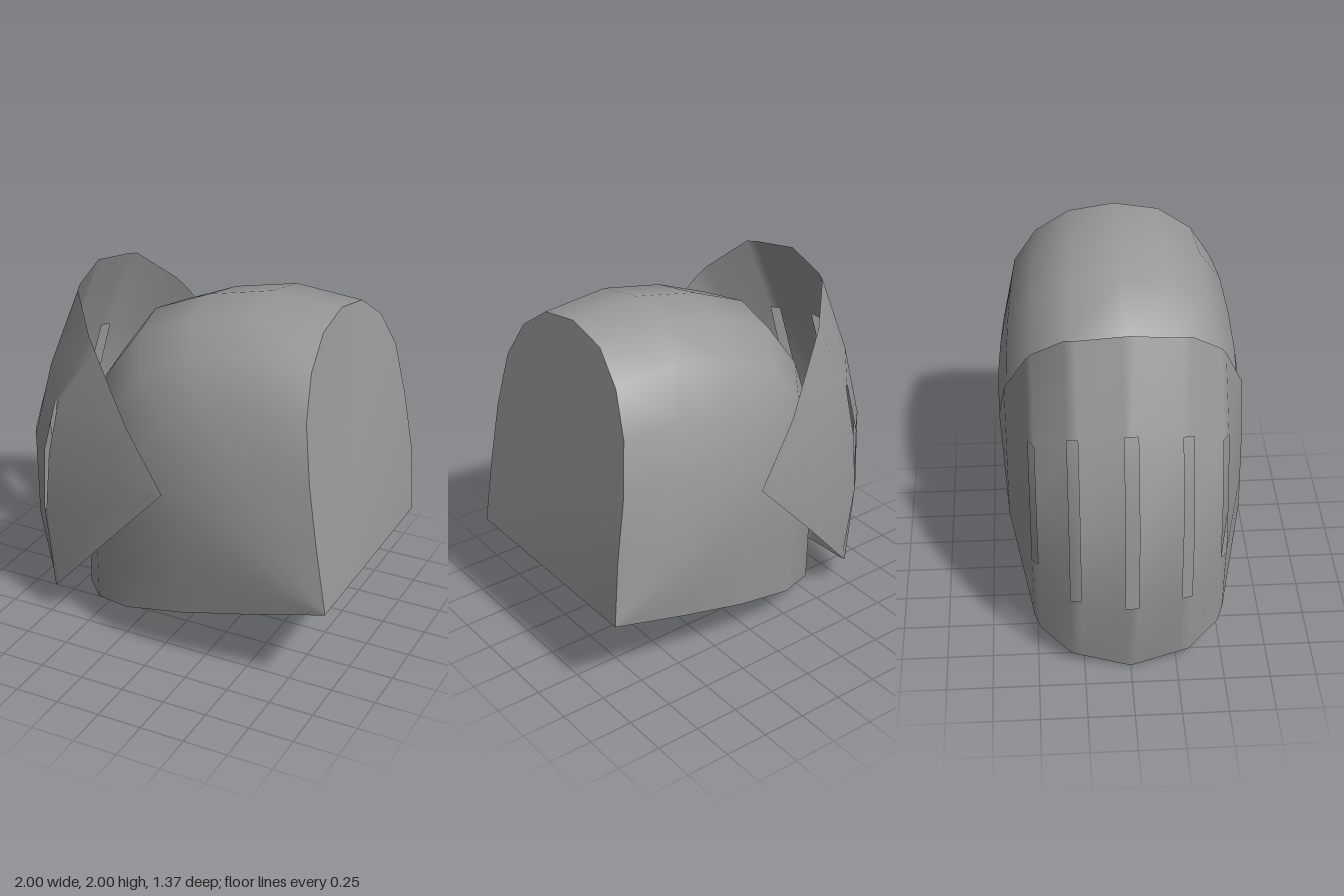
import * as THREE from 'three';

const material = new THREE.MeshStandardMaterial({ color: 0x999999, side: THREE.DoubleSide });

// Skin a grid of [x, y, z] points; cells for which skip(row, column) is true stay open.
function skin(rows, name, skip = () => false) {
  const n = rows[0].length;
  const index = [];
  for (let i = 0; i < rows.length - 1; i++) {
    for (let j = 0; j < n - 1; j++) {
      if (skip(i, j)) continue;
      const a = i * n + j, b = a + 1, c = a + n, d = c + 1;
      index.push(a, c, b, b, c, d);
    }
  }
  return makeMesh(rows.flat(2), index, name);
}

function makeMesh(positions, index, name) {
  const geometry = new THREE.BufferGeometry();
  geometry.setAttribute('position', new THREE.Float32BufferAttribute(positions, 3));
  geometry.setIndex(index);
  geometry.computeVertexNormals();
  const mesh = new THREE.Mesh(geometry, material);
  mesh.name = name;
  return mesh;
}

export function createModel() {
  const group = new THREE.Group();
  group.name = 'helmet';

  // Shell: one arch profile [reach, half width] swung about the lower back edge
  const arch = [[0, 0.635], [0.27, 0.635], [0.5, 0.62], [0.72, 0.565], [0.87, 0.44], [0.968, 0.25], [1, 0]];
  const fullArch = [...arch, ...arch.slice(0, -1).reverse().map(([u, z]) => [u, -z])];
  // [angle in degrees, radius] from the open bottom to the flat back
  const swing = [[195.6, 1.745], [183, 1.67], [170, 1.69], [158, 1.74], [148, 1.78],
    [137, 1.79], [126, 1.68], [113, 1.57], [99.2, 1.44]];
  const last = swing.length - 1;
  const shellRows = swing.map(([degrees, radius], i) => {
    const angle = THREE.MathUtils.degToRad(degrees);
    const middle = Math.sin(Math.PI * i / last);
    return fullArch.map(([u, z]) => {
      const widen = 1 + middle * (0.065 * Math.min(1, u / 0.27) + 0.06 * u);
      // the right side of the back rim bows out slightly
      const bow = i === last && z < 0 && u > 0 ? 0.035 * Math.min(1, (1 - u) / 0.2) : 0;
      return [1 + u * radius * Math.cos(angle) + bow, 0.55 + u * radius * Math.sin(angle), z * widen];
    });
  });
  const shell = skin(shellRows, 'shell');
  // Even out the shading where all arches meet in the two lower back corners
  const normals = shell.geometry.attributes.normal;
  const width = fullArch.length;
  for (let i = 0; i <= last; i++) {
    for (const [corner, next] of [[0, 1], [width - 1, width - 2]]) {
      const from = i * width + next;
      normals.setXYZ(i * width + corner, normals.getX(from), normals.getY(from), normals.getZ(from));
    }
  }
  group.add(shell);

  // Flat back panel closing the last arch
  const rim = shellRows[last];
  const fan = [];
  for (let j = 1; j < rim.length - 1; j++) fan.push(0, j + 1, j);
  group.add(makeMesh(rim.flat(), fan, 'backPanel'));

  // Visor columns: z, then [x, y] at lower edge, slit foot, middle, slit head, upper edge
  const columns = [
    [0.675, [0.08, 1.04], [0.08, 1.04], [0.08, 1.04], [0.08, 1.04], [0.08, 1.04]],
    [0.635, [-0.29, 0.64], [-0.28, 0.83], [-0.27, 1.04], [-0.21, 1.22], [-0.15, 1.37]],
    [0.515, [-0.67, 0.22], [-0.74, 0.67], [-0.705, 1.03], [-0.63, 1.36], [-0.39, 1.7]],
    [0.485, [-0.72, 0.17], [-0.77, 0.66], [-0.75, 1.03], [-0.665, 1.35], [-0.44, 1.76]],
    [0.32, [-0.82, 0.062], [-0.91, 0.52], [-0.912, 1.02], [-0.79, 1.47], [-0.6, 1.935]],
    [0.265, [-0.83, 0.052], [-0.935, 0.53], [-0.948, 1.02], [-0.81, 1.48], [-0.62, 1.946]],
    [0.035, [-0.865, 0.007], [-0.97, 0.5], [-1, 1.02], [-0.85, 1.52], [-0.655, 1.984]],
    [0, [-0.87, 0], [-0.97, 0.5], [-1, 1.02], [-0.85, 1.52], [-0.66, 1.99]],
  ];
  const allColumns = [...columns, ...columns.slice(0, -1).reverse().map(([z, ...points]) => [-z, ...points])];
  const visorRows = [1, 2, 3, 4, 5].map((k) => allColumns.map((c) => [c[k][0], c[k][1], c[0]]));
  // Five vertical slits: one central, two on each side
  const slitCells = [2, 4, 6, 7, 9, 11];
  group.add(skin(visorRows, 'visor', (i, j) => (i === 1 || i === 2) && slitCells.includes(j)));

  return group;
}
